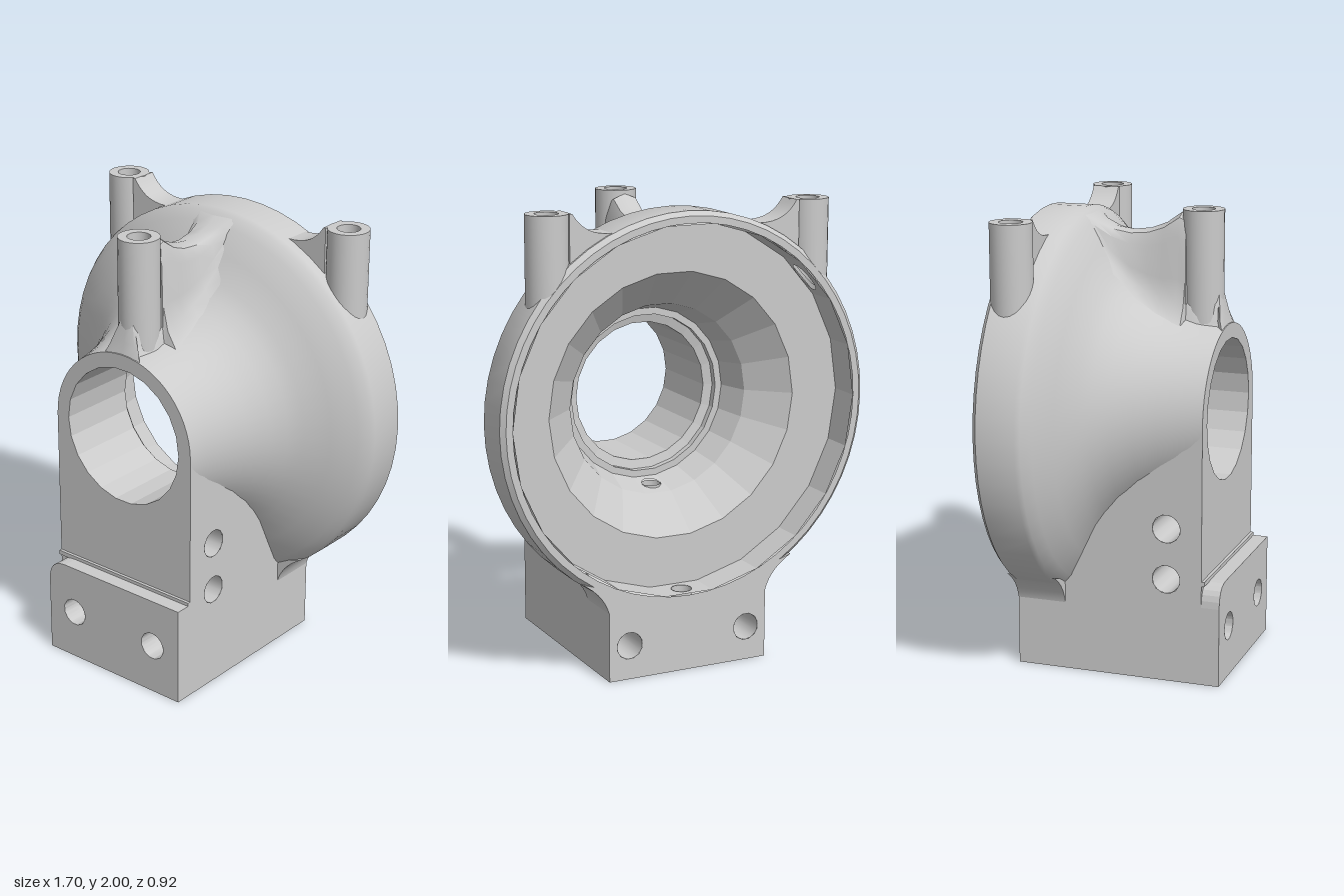
import * as THREE from 'three';
import { mergeGeometries, toCreasedNormals } from 'three/addons/utils/BufferGeometryUtils.js';

const CY = 1.135;   // height of the bore axis
const W = 0.375;    // half width of the block
const N = 22;       // sides of the inner bore
const BACK = -0.46, FACE = 0.38, FRONT = 0.46;

// outer bowl profile [radius, z]
const OUTER = [[0.8, BACK], [0.83, BACK], [0.85, -0.44], [0.85, -0.27], [0.838, -0.25], [0.8, -0.213],
  [0.7, -0.158], [0.6, -0.1], [0.55, -0.055], [0.5, 0.005], [0.45, 0.095], [0.415, 0.19], [0.39, 0.29], [W, FACE]];
// stepped inner profile [radius, z]
const INNER = [[0.8, BACK], [0.8, -0.315], [0.58, -0.315], [0.42, -0.17], [0.38, -0.03],
  [0.35, -0.03], [0.35, 0], [0.31, 0.01], [0.31, FACE]];

function outerRadius(z) {
  for (let i = 3; i < OUTER.length - 1; i++) {
    const [r0, z0] = OUTER[i], [r1, z1] = OUTER[i + 1];
    if (z <= z1) return r0 + (r1 - r0) * Math.max(0, (z - z0) / (z1 - z0));
  }
  return W;
}

function circle(cx, cy, rx, ry = rx, n = 12) {
  return new THREE.Path(Array.from({ length: n }, (_, i) => {
    const a = -Math.PI / 2 + (i + 0.5) / n * Math.PI * 2;
    return new THREE.Vector2(cx + rx * Math.cos(a), cy + ry * Math.sin(a));
  }));
}

function shapeOf(points, holes = []) {
  const s = new THREE.Shape(points.map(p => new THREE.Vector2(p[0], p[1])));
  s.holes.push(...holes);
  return s;
}

export function createModel() {
  const group = new THREE.Group();
  const material = new THREE.MeshStandardMaterial({ color: 0xcccccc, side: THREE.DoubleSide });
  const add = (name, geometry) => {
    const mesh = new THREE.Mesh(geometry, material);
    mesh.name = name;
    group.add(mesh);
    return mesh;
  };
  // straight drilled hole from a to b, with a floor when blind
  const drill = (name, a, b, r, blind = false) => {
    const from = new THREE.Vector3(...a), to = new THREE.Vector3(...b);
    const len = from.distanceTo(to);
    const pts = [new THREE.Vector2(r, 0), new THREE.Vector2(r, len)];
    if (blind) pts.push(new THREE.Vector2(0, len));
    const mesh = add(name, toCreasedNormals(new THREE.LatheGeometry(pts, 12), 0.6));
    mesh.position.copy(from);
    mesh.quaternion.setFromUnitVectors(new THREE.Vector3(0, 1, 0), to.sub(from).normalize());
  };

  // flared outer bowl
  const bowl = new THREE.LatheGeometry(OUTER.map(p => new THREE.Vector2(...p)), 56);
  bowl.rotateX(Math.PI / 2).translate(0, CY, 0);
  add('bowl', toCreasedNormals(bowl, 0.6));

  // stepped bore made of flat cells, some of them drilled: key is "section,cell"
  const half = Math.PI / N;
  const cellHoles = {
    '0,0': circle(0, 0.07, 0.045),
    '0,8': circle(0, 0.09, 0.076, 0.05),
    '0,14': circle(0, 0.09, 0.076, 0.05),
    '3,0': circle(0, 0.08, 0.042),
  };
  const cells = [];
  for (let s = 0; s < INNER.length - 1; s++) {
    const [r0, z0] = INNER[s], [r1, z1] = INNER[s + 1];
    const len = Math.hypot(r1 - r0, z1 - z0), w0 = r0 * Math.sin(half), w1 = r1 * Math.sin(half);
    for (let i = 0; i < N; i++) {
      const hole = cellHoles[s + ',' + i];
      const g = new THREE.ShapeGeometry(shapeOf([[-w0, 0], [w0, 0], [w1, len], [-w1, len]], hole ? [hole] : []));
      const a = -Math.PI / 2 + i * 2 * half, c = Math.cos(a), d = Math.sin(a), p = g.attributes.position;
      for (let k = 0; k < p.count; k++) {
        const u = p.getX(k), t = p.getY(k) / len, r = (r0 + (r1 - r0) * t) * Math.cos(half);
        p.setXYZ(k, c * r - d * u, CY + d * r + c * u, z0 + (z1 - z0) * t);
      }
      g.computeVertexNormals();
      cells.push(g);
    }
  }
  add('steppedBore', mergeGeometries(cells));

  // arched front plate around the bore
  const arch = [[-W, 0.3], [W, 0.3]];
  for (let i = 0; i <= 28; i++) {
    const a = i / 28 * Math.PI;
    arch.push([W * Math.cos(a), CY + W * Math.sin(a)]);
  }
  const facePlate = new THREE.ShapeGeometry(shapeOf(arch, [circle(0, CY, 0.31, 0.31, N)]));
  add('frontPlate', facePlate.translate(0, 0, FACE));

  // raised mounting pad with one rounded corner
  const pad = new THREE.Shape();
  pad.moveTo(-W, 0).lineTo(W, 0).lineTo(W, 0.45).lineTo(-0.28, 0.45);
  pad.quadraticCurveTo(-W, 0.45, -W, 0.35);
  pad.holes.push(circle(-0.228, 0.228, 0.063), circle(0.228, 0.228, 0.063));
  const padGeo = new THREE.ExtrudeGeometry(pad, { depth: FRONT - FACE, bevelEnabled: false, curveSegments: 6 });
  add('mountingPad', padGeo.translate(0, 0, FACE));
  const lip = new THREE.BoxGeometry(2 * W, 0.02, 0.015);
  add('padLip', lip.translate(0, 0.455, FACE + 0.006));

  // side walls, their upper edge following the bowl
  const side = [[BACK, 0], [FACE, 0], [FACE, CY]];
  for (let i = 0; i <= 40; i++) {
    const z = FACE - 0.03 - (FACE - 0.03 - BACK) * i / 40;
    const r = outerRadius(z) - 0.025;
    side.push([z, CY - Math.sqrt(Math.max(0, r * r - W * W))]);
  }
  const sideHoles = [0.46, 0.685];
  for (const s of [-1, 1]) {
    const g = new THREE.ShapeGeometry(shapeOf(side, sideHoles.map(y => circle(0.222, y, 0.063))));
    add('sideWall', g.rotateY(-Math.PI / 2).translate(s * W, 0, 0));
  }
  for (const y of sideHoles) drill('sideHole', [-W, y, 0.222], [W, y, 0.222], 0.063);

  // back wall, cut round under the bowl
  const back = [[-W, 0], [W, 0]];
  for (let i = 0; i <= 12; i++) {
    const x = W - 2 * W * i / 12;
    back.push([x, CY - Math.sqrt(0.815 ** 2 - x * x)]);
  }
  const backGeo = new THREE.ShapeGeometry(shapeOf(back, [-0.28, 0.28].map(x => circle(x, 0.15, 0.06))));
  add('backWall', backGeo.translate(0, 0, BACK));

  // underside with two oil holes up to the bore
  const under = new THREE.ShapeGeometry(shapeOf([[-W, BACK], [W, BACK], [W, FACE], [-W, FACE]],
    [circle(0, -0.39, 0.045), circle(0, -0.09, 0.045)]));
  add('underside', under.rotateX(Math.PI / 2));
  drill('bottomHole', [0, 0, -0.39], [0, 0.345, -0.39], 0.045);
  drill('bottomHole', [0, 0, -0.09], [0, 0.742, -0.09], 0.045);

  for (const s of [-1, 1]) {
    drill('frontHole', [s * 0.228, 0.228, FRONT], [s * 0.228, 0.228, 0.16], 0.063, true);
    drill('backHole', [s * 0.28, 0.15, BACK], [s * 0.28, 0.15, -0.2], 0.06, true);

    // fillet between block and bowl rim
    const fillet = new THREE.Shape();
    fillet.moveTo(s * 0.37, 0.28).quadraticCurveTo(s * 0.385, 0.385, s * 0.5, 0.452).lineTo(s * 0.37, 0.41);
    const filletGeo = new THREE.ExtrudeGeometry(fillet, { depth: 0.22, bevelEnabled: false, curveSegments: 8 });
    add('baseFillet', toCreasedNormals(filletGeo.translate(0, 0, BACK), 0.5));

    // hollow rear post, its foot trimmed to the rim
    const px = s * 0.605;
    const post = new THREE.LatheGeometry(
      [[0.09, 0], [0.09, 2], [0.05, 2], [0.05, 0]].map(p => new THREE.Vector2(...p)), 24);
    post.translate(px, 0, -0.37);
    const p = post.attributes.position;
    for (let k = 0; k < p.count; k++) {
      if (p.getY(k) < 1) p.setY(k, CY + Math.sqrt(0.81 ** 2 - p.getX(k) ** 2));
    }
    add('rearPost', toCreasedNormals(post, 0.6));

    // concave gusset from rear post to rim
    const gusset = new THREE.Shape();
    gusset.moveTo(s * 0.53, 2).lineTo(s * 0.518, 2);
    gusset.bezierCurveTo(s * 0.48, 1.94, s * 0.43, 1.91, s * 0.34, 1.912);
    gusset.lineTo(s * 0.36, 1.873).lineTo(s * 0.45, 1.823).lineTo(s * 0.53, 1.765);
    const gussetGeo = new THREE.ExtrudeGeometry(gusset, { depth: 0.12, bevelEnabled: false, curveSegments: 8 });
    add('rearPostGusset', toCreasedNormals(gussetGeo.translate(0, 0, -0.43), 0.5));
  }

  // hollow front post
  const frontPost = new THREE.LatheGeometry(
    [[0.09, 1.5], [0.09, 2], [0.05, 2], [0.05, 1.64], [0, 1.64]].map(p => new THREE.Vector2(...p)), 24);
  add('frontPost', toCreasedNormals(frontPost.translate(0, 0, 0.262), 0.6));

  // saddle web from front post back to the rim: [z, top, half width, foot half width]
  const stations = [[0.378, 1.5, 0.1, 0.2], [0.362, 1.56, 0.08, 0.21], [0.345, 1.65, 0.05, 0.22],
    [0.262, 1.62, 0.086, 0.23], [0.212, 1.63, 0.084, 0.23], [0.205, 1.97, 0.076, 0.23], [0.17, 1.985, 0.076, 0.22],
    [0.1, 1.935, 0.074, 0.21], [0.03, 1.908, 0.07, 0.2], [-0.05, 1.898, 0.07, 0.2], [-0.13, 1.908, 0.075, 0.22],
    [-0.2, 1.935, 0.09, 0.26], [-0.25, 1.968, 0.13, 0.3], [-0.3, 1.98, 0.15, 0.3]];
  const rib = [[1, 0], [0.5, 0.1], [0.2, 0.25], [0.05, 0.45], [0, 0.8], [-0.3, 0.96]]; // [spread, rise]
  const positions = [], index = [], cols = rib.length * 2 + 1;
  stations.forEach(([z, top, w, foot], j) => {
    const y0 = CY + Math.sqrt(outerRadius(z) ** 2 - foot * foot) - 0.015;
    const right = rib.map(([s, t]) => [s < 0 ? w * (1 + s) : w + (foot - w) * s, y0 + (top - y0) * t]);
    const row = [...right, [0, top], ...right.slice().reverse().map(([x, y]) => [-x, y])];
    row.forEach(([x, y], i) => {
      positions.push(x, y, z);
      if (j && i) {
        const b = j * cols + i, a = b - cols;
        index.push(a - 1, b - 1, a, a, b - 1, b);
      }
    });
  });
  const web = new THREE.BufferGeometry();
  web.setAttribute('position', new THREE.Float32BufferAttribute(positions, 3));
  web.setIndex(index.reverse());
  web.computeVertexNormals();
  add('saddleWeb', toCreasedNormals(web, 0.8));

  return group;
}
